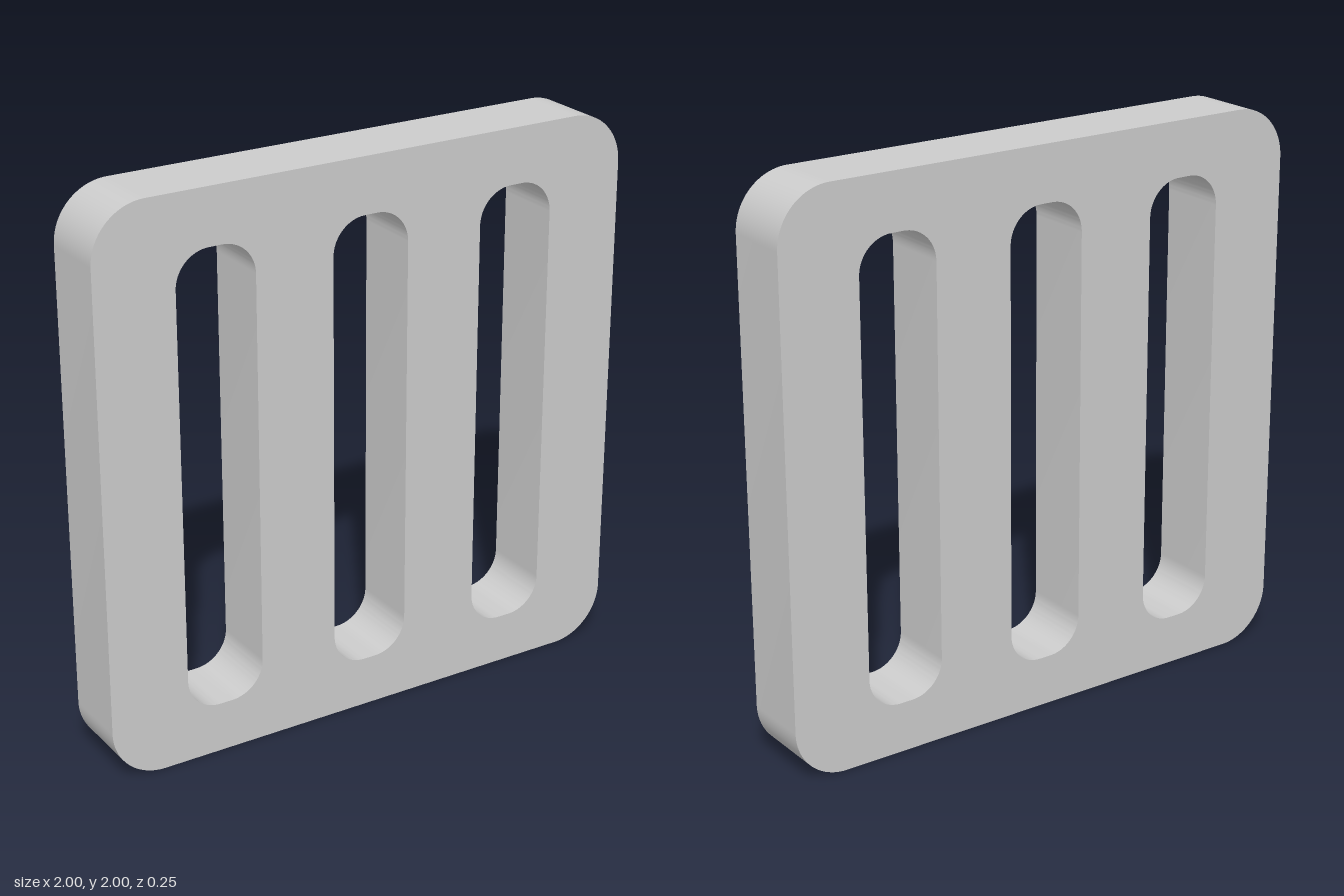
import * as THREE from 'three';
import { toCreasedNormals } from 'three/addons/utils/BufferGeometryUtils.js';

// Trace a rounded rectangle counter-clockwise
function roundedRect(path, x0, y0, x1, y1, r) {
  path.moveTo(x0 + r, y0);
  path.lineTo(x1 - r, y0);
  path.absarc(x1 - r, y0 + r, r, -Math.PI / 2, 0);
  path.lineTo(x1, y1 - r);
  path.absarc(x1 - r, y1 - r, r, 0, Math.PI / 2);
  path.lineTo(x0 + r, y1);
  path.absarc(x0 + r, y1 - r, r, Math.PI / 2, Math.PI);
  path.lineTo(x0, y0 + r);
  path.absarc(x0 + r, y0 + r, r, Math.PI, Math.PI * 1.5);
  return path;
}

export function createModel() {
  const group = new THREE.Group();
  group.name = 'slottedBuckle';
  const depth = 0.252;

  // Square plate with rounded corners
  const outline = roundedRect(new THREE.Shape(), -1, 0, 1, 2, 0.19);

  // Three upright slots
  const halfSlot = 0.143;
  for (const x of [-0.572, 0, 0.572]) {
    outline.holes.push(roundedRect(new THREE.Path(), x - halfSlot, 0.18, x + halfSlot, 1.803, 0.12));
  }

  const geometry = new THREE.ExtrudeGeometry(outline, { depth, bevelEnabled: false, curveSegments: 12 });
  geometry.translate(0, 0, -depth / 2);

  const plate = new THREE.Mesh(
    toCreasedNormals(geometry, Math.PI / 6),
    new THREE.MeshStandardMaterial({ color: 0xcccccc })
  );
  plate.name = 'slottedPlate';
  group.add(plate);
  return group;
}
